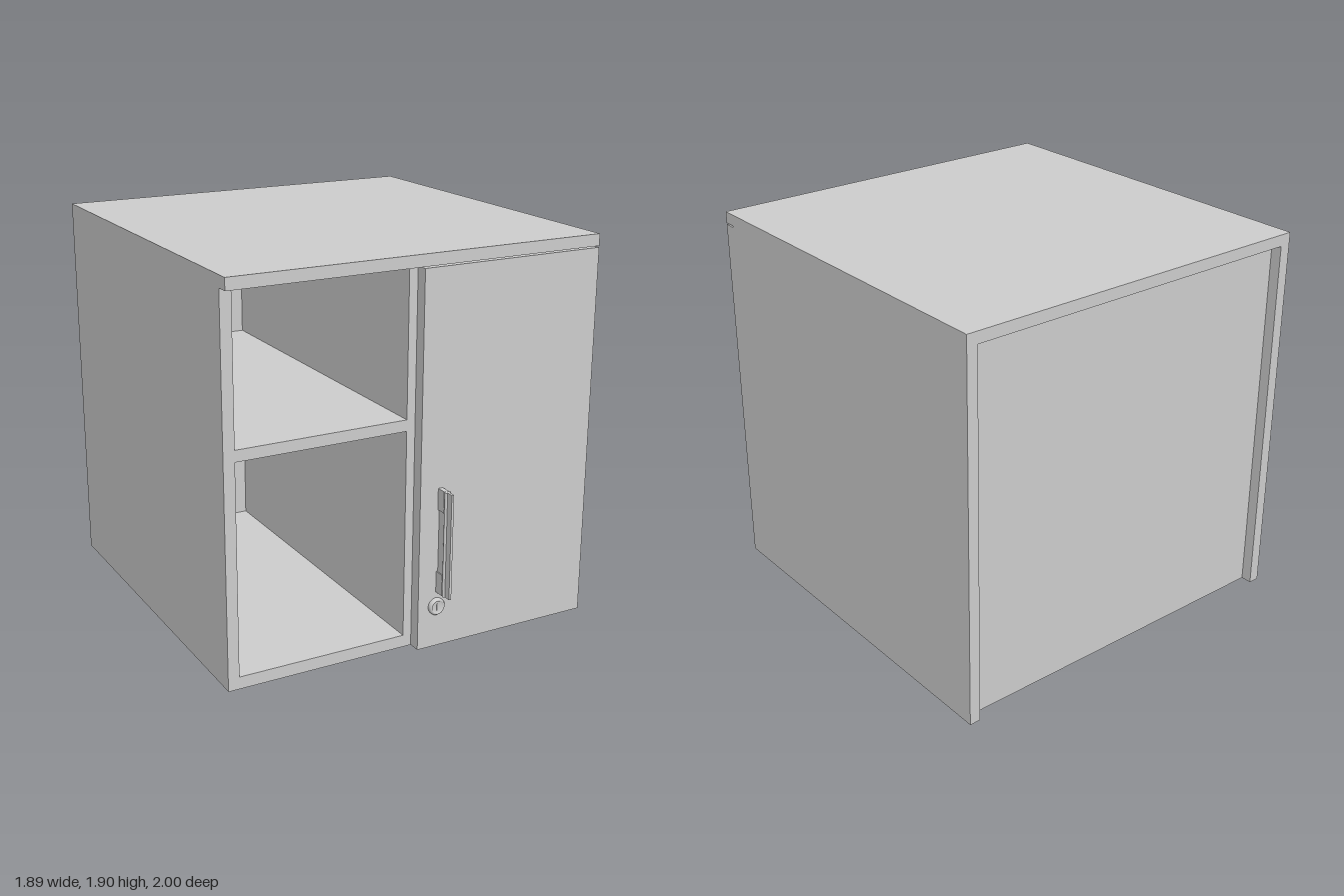
import * as THREE from 'three';

export function createModel() {
  const root = new THREE.Group();
  const mat = new THREE.MeshStandardMaterial({ color: 0xcccccc });

  const add = (name, geometry, parent = root) => {
    const mesh = new THREE.Mesh(geometry, mat);
    mesh.name = name;
    parent.add(mesh);
    return mesh;
  };
  // Box given by its limits on each axis
  const box = (name, [x0, x1], [y0, y1], [z0, z1], parent) => {
    const mesh = add(name, new THREE.BoxGeometry(x1 - x0, y1 - y0, z1 - z0), parent);
    mesh.position.set((x0 + x1) / 2, (y0 + y1) / 2, (z0 + z1) / 2);
    return mesh;
  };

  const W = 0.945, T = 0.055;           // half width, board thickness
  const back = -1, front = 0.835, doorFront = 0.895;
  const underTop = 1.843, panelBack = -0.945, panelFront = -0.915;

  // Carcass boards
  box('top', [-W, W], [underTop, 1.9], [back, doorFront]);
  box('rightSide', [-W, -W + T], [0, underTop], [back, front]);
  box('leftSide', [W - T, W], [0, underTop], [back, front]);
  box('bottom', [-W + T, W - T], [0, 0.06], [panelBack, front]);
  box('backPanel', [-W + T, W - T], [0.06, underTop], [panelBack, panelFront]);
  box('divider', [-0.04, 0.015], [0.06, underTop], [panelFront, front]);

  // One shelf in each bay
  for (const [name, x0, x1] of [['openShelf', -W + T, -0.04], ['cupboardShelf', 0.015, W - T]]) {
    box(name, [x0, x1], [1.08, 1.135], [panelFront, front]);
  }

  // Door closing the left bay
  box('door', [0.003, W], [0, 1.836], [front, doorFront]);

  // Pull handle: feet, recessed web, grip rails and a thin outer fin
  const handle = new THREE.Group();
  handle.name = 'handle';
  root.add(handle);
  const hx = 0.11, y0 = 0.28, y1 = 0.8;
  for (const [a, b] of [[y0, 0.385], [0.695, y1]]) {
    box('handleFoot', [hx - 0.012, hx + 0.012], [a, b], [doorFront, 0.945], handle);
  }
  box('handleWeb', [hx - 0.007, hx + 0.007], [0.385, 0.695], [0.9, 0.945], handle);
  box('handleFin', [hx - 0.006, hx + 0.006], [y0, y1], [0.945, 1], handle);
  const rail = new THREE.CylinderGeometry(0.008, 0.008, y1 - y0, 12);
  for (const s of [-1, 1]) {
    add('handleRail', rail, handle).position.set(hx + s * 0.008, (y0 + y1) / 2, 0.957);
  }

  // Round lock with a raised rim and a key slot
  const lock = new THREE.Group();
  lock.name = 'lock';
  lock.position.set(0.1, 0.208, doorFront);
  root.add(lock);
  const profile = [[0.042, 0], [0.042, 0.012], [0.037, 0.019], [0.03, 0.019], [0.027, 0.014], [0, 0.014]]
    .map(([r, h]) => new THREE.Vector2(r, h));
  const body = add('lockBody', new THREE.LatheGeometry(profile, 32), lock);
  body.rotation.x = Math.PI / 2;
  box('keySlot', [-0.003, 0.003], [-0.017, 0.017], [0.012, 0.017], lock);

  return root;
}
